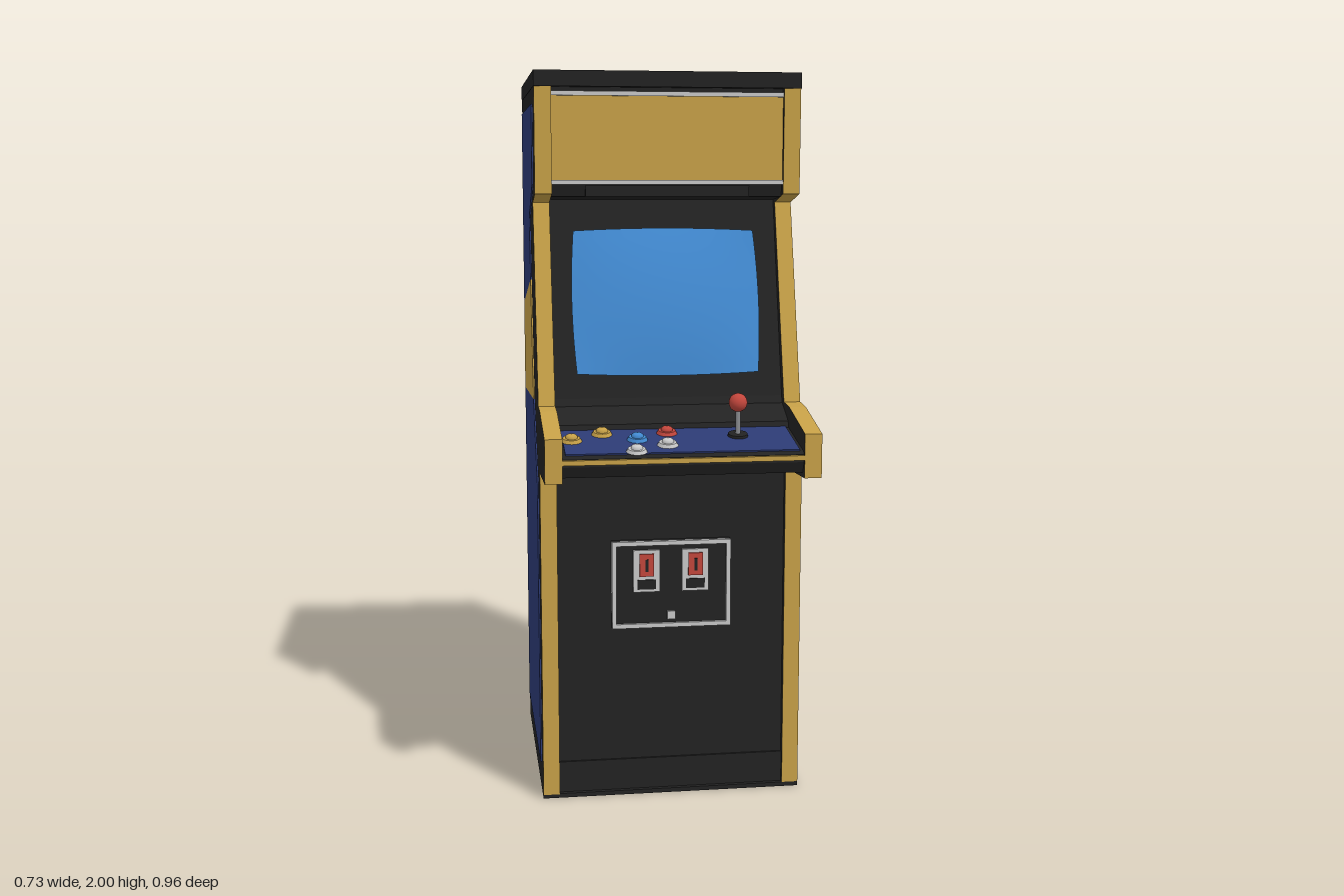
import * as THREE from 'three';

const mat = (name, color, extra = {}) => {
  const m = new THREE.MeshStandardMaterial({ color, ...extra });
  m.name = name;
  return m;
};

export function createModel() {
  const black = mat('cabinet black', 0x222222);
  const yellow = mat('trim yellow', 0xc6a047);
  const blue = mat('panel blue', 0x2c3a74);
  const screenBlue = mat('screen blue', 0x4189d0);
  const red = mat('control red', 0xc2463c);
  const white = mat('control white', 0xc8c8c8);
  const grey = mat('metal grey', 0x8a8c90);

  const root = new THREE.Group();
  root.name = 'arcadeCabinet';

  const add = (name, geometry, material, parent = root) => {
    const m = new THREE.Mesh(geometry, material);
    m.name = name;
    parent.add(m);
    return m;
  };
  // Box from its minimum and maximum corners
  const box = (name, x0, x1, y0, y1, z0, z1, material, parent = root) => {
    const m = add(name, new THREE.BoxGeometry(x1 - x0, y1 - y0, z1 - z0), material, parent);
    m.position.set((x0 + x1) / 2, (y0 + y1) / 2, (z0 + z1) / 2);
    return m;
  };
  // Side profile of [z, y] points extruded across x
  const profile = (name, points, x0, x1, material) => {
    const shape = new THREE.Shape(points.map(([z, y]) => new THREE.Vector2(z, y)));
    const g = new THREE.ExtrudeGeometry(shape, { depth: x1 - x0, bevelEnabled: false });
    g.rotateY(-Math.PI / 2);
    g.translate(x1, 0, 0);
    return add(name, g, material);
  };

  // Inner cabinet between the side panels
  profile('cabinetBody', [
    [-0.47, 0.005], [0.225, 0.005], [0.225, 0.94], [0.45, 0.95], [0.465, 0.98], [0.465, 1.0],
    [0.455, 1.008], [0.275, 1.043], [0.268, 1.06], [0.19, 1.1], [0.18, 1.12], [0.035, 1.66],
    [0.14, 1.668], [0.15, 1.7], [0.15, 1.965], [-0.47, 1.965],
  ], -0.318, 0.318, black);

  // Side panels with yellow edge trim and painted side art
  const panel = [
    [-0.47, 0.01], [0.243, 0.01], [0.243, 0.927], [0.472, 0.938], [0.472, 1.055], [0.28, 1.1],
    [0.212, 1.105], [0.058, 1.652], [0.168, 1.675], [0.172, 1.96], [-0.47, 1.96],
  ];
  const art = [
    ['upperSideArt', blue, [[0.1, 1.915], [-0.43, 1.915], [-0.43, 1.345], [-0.04, 1.435],
      [-0.07, 1.608], [0.1, 1.7]]],
    ['sideBand', yellow, [[-0.04, 1.435], [-0.43, 1.345], [-0.43, 1.08], [0.037, 1.103]]],
    ['lowerSideArt', blue, [[0.037, 1.103], [-0.43, 1.08], [-0.43, 0.085], [0.18, 0.085],
      [0.18, 0.885]]],
  ];
  for (const [side, s] of [['left', 1], ['right', -1]]) {
    const across = (name, pts, a, b, m) =>
      profile(name, pts, Math.min(a * s, b * s), Math.max(a * s, b * s), m);
    across(side + 'SidePanel', panel, 0.317, 0.363, [black, yellow]);
    for (const [name, m, pts] of art) across(side + '_' + name, pts, 0.362, 0.367, m);
    box(side + 'BackPost', s > 0 ? 0.317 : -0.363, s > 0 ? 0.363 : -0.317, 0, 1.98, -0.48, -0.465, black);
  }

  // Roof, base and back board
  box('roof', -0.364, 0.364, 1.958, 2, -0.48, 0.176, black);
  box('base', -0.363, 0.363, 0, 0.012, -0.475, 0.243, black);
  box('backBoard', -0.318, 0.318, 0, 1.97, -0.477, -0.465, black);
  box('kickPlate', -0.317, 0.317, 0.012, 0.1, 0.22, 0.231, black);

  // Marquee with its metal retainers and speaker ledge
  box('marquee', -0.317, 0.317, 1.71, 1.94, 0.15, 0.157, yellow);
  box('marqueeTopRetainer', -0.317, 0.317, 1.935, 1.947, 0.15, 0.163, white);
  box('marqueeBottomRetainer', -0.317, 0.317, 1.7, 1.712, 0.15, 0.163, white);
  box('speakerLedge', -0.225, 0.225, 1.668, 1.698, 0.14, 0.155, black);

  // Bulging picture tube with slightly bowed edges
  const tube = new THREE.PlaneGeometry(2, 2, 16, 16);
  const p = tube.attributes.position;
  for (let i = 0; i < p.count; i++) {
    const u = p.getX(i), v = p.getY(i);
    p.setXYZ(i, 0.262 * u * (1 - 0.035 * v * v), 0.208 * v * (1 - 0.035 * u * u),
      0.02 * (1 - u * u) * (1 - v * v));
  }
  tube.computeVertexNormals();
  const screen = add('screen', tube, screenBlue);
  screen.position.set(0, 1.38, 0.116);
  screen.rotation.x = -0.262;

  // Sloping control deck
  const deck = new THREE.Group();
  deck.name = 'controlDeck';
  deck.position.set(0, 1.0255, 0.365);
  deck.rotation.x = 0.192;
  root.add(deck);
  box('controlOverlay', -0.308, 0.308, -0.002, 0.004, -0.092, 0.09, blue, deck);
  box('deckEdgeTrim', -0.317, 0.317, 0.986, 0.999, 0.46, 0.475, yellow);

  // Push buttons: collar and domed plunger
  const collar = new THREE.CylinderGeometry(0.023, 0.028, 0.009, 20);
  const plunger = new THREE.LatheGeometry([[0.016, 0], [0.016, 0.007], [0.011, 0.011], [0, 0.013]]
    .map(([x, y]) => new THREE.Vector2(x, y)), 20);
  const buttons = [
    [-0.285, 0.355, yellow], [-0.2, 0.31, yellow], [-0.11, 0.355, screenBlue],
    [-0.025, 0.31, red], [-0.035, 0.4, white], [-0.122, 0.443, white],
  ];
  for (const [x, z, m] of buttons) {
    const b = new THREE.Group();
    b.name = 'button';
    b.position.set(x, 0.004, (z - 0.365) / Math.cos(0.192));
    deck.add(b);
    add('buttonCollar', collar, m, b).position.y = 0.0045;
    add('buttonPlunger', plunger, m, b).position.y = 0.007;
  }

  // Joystick
  const stick = new THREE.Group();
  stick.name = 'joystick';
  stick.position.set(0.163, 1.03, 0.342);
  root.add(stick);
  const dust = add('joystickWasher', new THREE.CylinderGeometry(0.026, 0.028, 0.01, 20), black, stick);
  dust.position.y = 0.006;
  dust.rotation.x = 0.192;
  add('joystickShaft', new THREE.CylinderGeometry(0.007, 0.007, 0.09, 12), grey, stick).position.y = 0.045;
  add('joystickBall', new THREE.SphereGeometry(0.025, 20, 14), red, stick).position.y = 0.094;

  // Coin door: framed plate with two coin slots and a lock
  box('coinDoor', -0.168, 0.163, 0.485, 0.73, 0.22, 0.243, black);
  box('coinFrameTop', -0.168, 0.163, 0.718, 0.73, 0.22, 0.252, white);
  box('coinFrameBottom', -0.168, 0.163, 0.485, 0.497, 0.22, 0.252, white);
  for (const x of [-0.168, 0.151]) box('coinFrameSide', x, x + 0.012, 0.497, 0.718, 0.22, 0.252, white);
  for (const x of [-0.072, 0.064]) {
    box('coinPlate', x - 0.037, x + 0.037, 0.587, 0.705, 0.24, 0.25, white);
    box('coinReject', x - 0.02, x + 0.02, 0.632, 0.695, 0.245, 0.256, red);
    box('coinSlit', x - 0.004, x + 0.004, 0.646, 0.68, 0.25, 0.258, black);
    box('coinReturn', x - 0.026, x + 0.026, 0.595, 0.622, 0.245, 0.253, black);
  }
  box('doorLock', -0.014, 0.008, 0.507, 0.53, 0.24, 0.25, white);

  return root;
}
